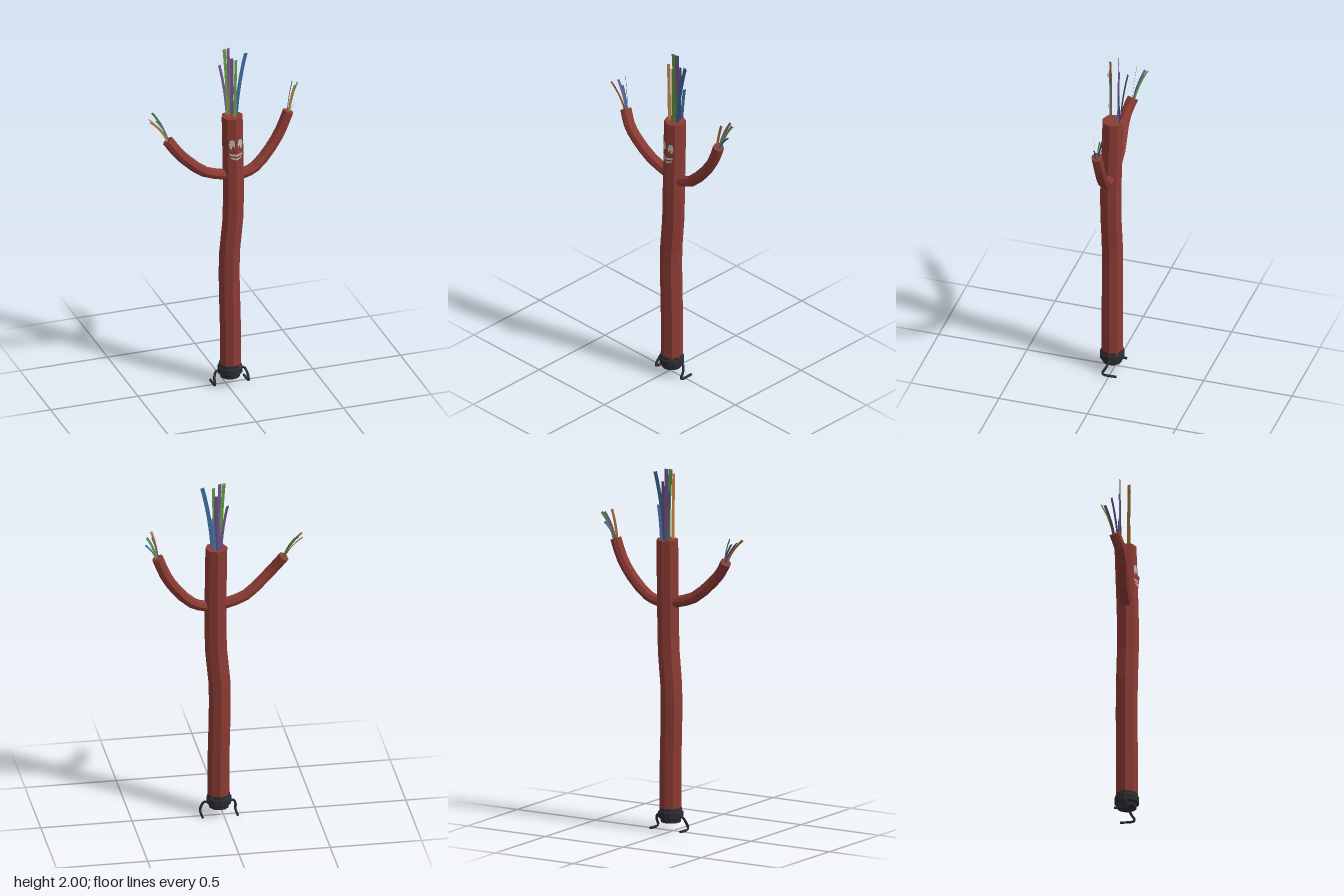
import * as THREE from 'three';

const V = (x, y, z) => new THREE.Vector3(x, y, z);
const mat = (name, color, side = THREE.FrontSide) => {
  const m = new THREE.MeshStandardMaterial({ color, flatShading: true, side });
  m.name = name;
  return m;
};

// Bends a geometry standing on the y axis (y from -0.5 to 0.5) along a curve.
// Its local z axis follows the direction ref as closely as possible.
function bend(geo, curve, ref = V(0, 0, 1)) {
  const p = geo.attributes.position;
  for (let i = 0; i < p.count; i++) {
    const t = THREE.MathUtils.clamp(p.getY(i) + 0.5, 0, 1);
    const T = curve.getTangent(t);
    const B = ref.clone().addScaledVector(T, -ref.dot(T)).normalize();
    const N = T.clone().cross(B);
    const q = curve.getPoint(t).addScaledVector(N, p.getX(i)).addScaledVector(B, p.getZ(i));
    p.setXYZ(i, q.x, q.y, q.z);
  }
  geo.computeVertexNormals();
  return geo;
}

const spline = (pts) => new THREE.CatmullRomCurve3(pts.map((a) => V(...a)));

export function createModel() {
  const model = new THREE.Group();
  const red = mat('red fabric', 0x8c3b34);
  const black = mat('dark blower', 0x2c2d32);
  const white = mat('face white', 0xb9b9b6, THREE.DoubleSide);
  const ribbons = {
    green: mat('green ribbon', 0x649440, THREE.DoubleSide),
    blue: mat('blue ribbon', 0x3d6c9e, THREE.DoubleSide),
    purple: mat('purple ribbon', 0x6a5486, THREE.DoubleSide),
    orange: mat('orange ribbon', 0xb57a38, THREE.DoubleSide),
  };
  const add = (name, geo, material, parent = model) => {
    const m = new THREE.Mesh(geo, material);
    m.name = name;
    parent.add(m);
    return m;
  };
  const tube = (name, pts, r, sides, segs, material, ref) =>
    add(name, bend(new THREE.CylinderGeometry(r, r, 1, sides, segs), spline(pts), ref), material);

  // Tall swaying body
  tube('body', [
    [0.024, 0.11, 0.01], [0.024, 0.36, 0.01], [0.018, 0.61, 0.01], [0.02, 0.8, 0.011],
    [0.037, 0.98, 0.013], [0.041, 1.2, 0.012], [0.04, 1.4, 0.006], [0.038, 1.605, 0],
  ], 0.06, 8, 14, red);

  // Raised arms
  tube('leftArm', [
    [0.04, 1.25, 0.01], [0.1, 1.255, 0.01], [0.167, 1.28, 0.006], [0.26, 1.375, -0.006],
    [0.32, 1.47, -0.012], [0.362, 1.575, -0.01],
  ], 0.031, 8, 10, red);
  tube('rightArm', [
    [0.04, 1.25, 0.01], [-0.02, 1.265, 0.01], [-0.125, 1.3, 0.015], [-0.23, 1.39, 0.029],
    [-0.285, 1.45, 0.027], [-0.333, 1.518, 0.006],
  ], 0.031, 8, 10, red);

  // Blower base
  const profile = [[0, 0.045], [0.054, 0.045], [0.056, 0.062], [0.068, 0.07],
    [0.068, 0.103], [0.062, 0.11], [0.061, 0.125], [0, 0.125]];
  const base = add('blowerBase', new THREE.LatheGeometry(
    profile.map(([x, y]) => new THREE.Vector2(x, y)), 12), black);
  base.position.set(0.022, 0, 0.01);

  // Bent wire feet
  for (const s of [-1, 1]) {
    const cx = 0.024;
    tube(s > 0 ? 'leftFoot' : 'rightFoot', [
      [cx + s * 0.055, 0.08, 0.0], [cx + s * 0.08, 0.078, 0.005], [cx + s * 0.094, 0.05, 0.018],
      [cx + s * 0.096, 0.016, 0.036], [cx + s * 0.096, 0.008, 0.025], [cx + s * 0.096, 0.008, -0.043],
    ], 0.007, 6, 16, black, V(1, -1, 1));
  }

  // Face plates lying on the two front facets; x is measured from the front edge
  const plate = (name, pts, s) => {
    const shape = new THREE.Shape(pts.map(([x, y]) => new THREE.Vector2(s * x, y)));
    const geo = new THREE.ShapeGeometry(shape);
    const p = geo.attributes.position;
    for (let i = 0; i < p.count; i++) {
      const x = p.getX(i), y = p.getY(i);
      const cz = 0.006 - (y - 1.4) * 0.03;
      p.setXYZ(i, 0.04 + x, y, cz + 0.0635 - Math.abs(x) * 0.414);
    }
    geo.computeVertexNormals();
    add(name, geo, white);
  };
  for (const s of [-1, 1]) {
    const side = s > 0 ? 'left' : 'right';
    plate(side + 'Eye', [[0.012, 1.483], [0.024, 1.487], [0.034, 1.479], [0.038, 1.458],
      [0.034, 1.437], [0.025, 1.428], [0.021, 1.448], [0.014, 1.448], [0.011, 1.434], [0.007, 1.458]], s);
    plate(side + 'UpperTeeth', [[0, 1.4], [0.036, 1.404], [0.033, 1.392], [0, 1.388]], s);
    plate(side + 'LowerLip', [[0, 1.377], [0.018, 1.38], [0.032, 1.389], [0.027, 1.375],
      [0.015, 1.369], [0, 1.367]], s);
  }

  // Ribbons: colour, root, tip, width, facing angle about y
  const streamers = {
    headRibbon: [
      ['green', [0.02, 1.6, -0.02], [0.0, 2.0, -0.024], 0.02, 0.3],
      ['purple', [0.03, 1.6, -0.025], [0.024, 2.0, -0.028], 0.022, 0.4],
      ['purple', [0.02, 1.6, -0.035], [-0.012, 1.885, -0.068], 0.022, 0.6],
      ['purple', [0.045, 1.6, -0.03], [0.045, 1.93, -0.035], 0.022, -0.2],
      ['green', [0.045, 1.6, 0.025], [0.05, 1.95, 0.028], 0.018, 0.3],
      ['orange', [0.015, 1.6, 0.02], [0.012, 1.965, 0.024], 0.018, 1.1],
      ['blue', [0.058, 1.6, 0.004], [0.116, 1.97, 0.0], 0.022, 0.1],
      ['blue', [0.05, 1.6, -0.04], [0.07, 1.8, -0.04], 0.016, 0.8],
    ],
    leftArmRibbon: [
      ['orange', [0.36, 1.57, 0.0], [0.395, 1.73, 0.002], 0.014, 0.4],
      ['green', [0.37, 1.57, -0.015], [0.428, 1.72, -0.048], 0.015, 0.6],
      ['purple', [0.36, 1.57, -0.02], [0.402, 1.725, -0.06], 0.014, 0.9],
      ['blue', [0.372, 1.57, -0.005], [0.43, 1.66, -0.016], 0.014, 1.2],
    ],
    rightArmRibbon: [
      ['orange', [-0.335, 1.51, 0.012], [-0.435, 1.65, 0.016], 0.013, 0.2],
      ['purple', [-0.335, 1.51, 0.0], [-0.43, 1.645, -0.032], 0.015, 1.3],
      ['green', [-0.33, 1.515, -0.004], [-0.4, 1.665, -0.058], 0.013, -0.6],
      ['blue', [-0.328, 1.515, 0.002], [-0.39, 1.63, -0.025], 0.011, 0.9],
    ],
  };
  for (const [name, list] of Object.entries(streamers)) {
    const group = new THREE.Group();
    group.name = name + 's';
    model.add(group);
    for (const [colour, root, tip, width, angle] of list) {
      // Rise steeply first, then lean out to the tip
      const a = V(...root), c = V(...tip);
      const b = a.clone().lerp(c, 0.25).setY(a.y + (c.y - a.y) * 0.55);
      const curve = new THREE.QuadraticBezierCurve3(a, b, c);
      const geo = bend(new THREE.PlaneGeometry(width, 1, 1, 6), curve,
        V(Math.sin(angle), 0, Math.cos(angle)));
      add(name, geo, ribbons[colour], group);
    }
  }
  return model;
}
